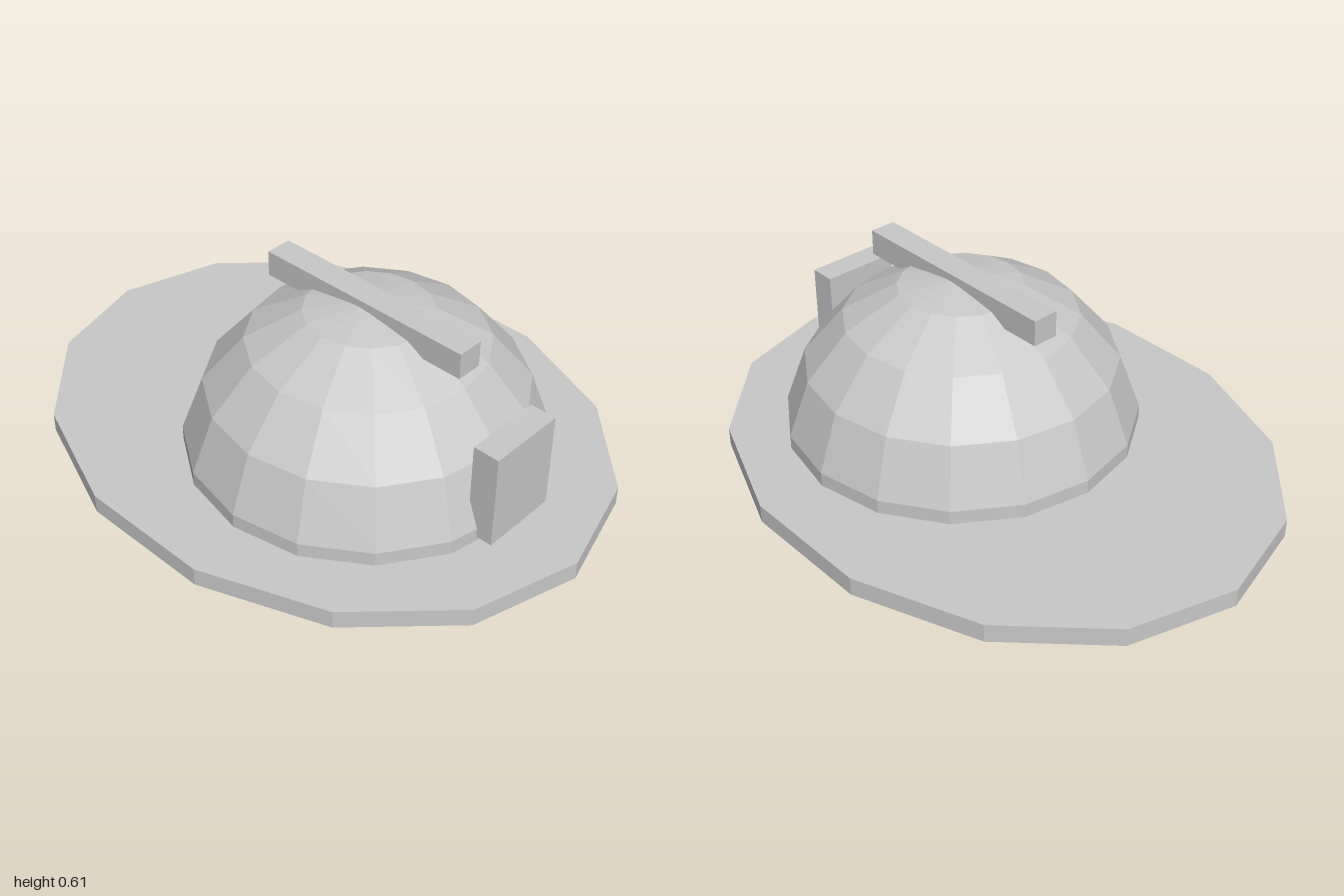
import * as THREE from 'three';

export function createModel() {
  const model = new THREE.Group();
  const grey = new THREE.MeshStandardMaterial({ color: 0xc8c8c8 });
  grey.name = 'light grey';

  const add = (name, geometry, x, y, z) => {
    // split the corners so every facet is flat
    const flat = geometry.index ? geometry.toNonIndexed() : geometry;
    flat.computeVertexNormals();
    const mesh = new THREE.Mesh(flat, grey);
    mesh.name = name;
    mesh.position.set(x, y, z);
    model.add(mesh);
  };

  // oval brim with 14 sides
  const brim = new THREE.CylinderGeometry(1, 1, 0.062, 14);
  brim.scale(0.8, 1, 1);
  add('brim', brim, 0, 0.031, 0);

  // faceted crown: rings every 20 degrees, with an upright foot sunk into the brim
  const radius = 0.59;
  const profile = [new THREE.Vector2(radius * Math.sin(THREE.MathUtils.degToRad(80)), 0.03)];
  for (let angle = 80; angle >= 0; angle -= 20) {
    const a = THREE.MathUtils.degToRad(angle);
    profile.push(new THREE.Vector2(radius * Math.sin(a), 0.008 + 0.582 * Math.cos(a)));
  }
  add('crown', new THREE.LatheGeometry(profile, 16), 0, 0, 0.177);

  // ridge bar along the top and upright plate at the front
  add('ridgeBar', new THREE.BoxGeometry(0.088, 0.086, 0.77), 0, 0.564, 0.18);
  add('frontPlate', new THREE.BoxGeometry(0.262, 0.322, 0.088), 0, 0.24, 0.742);

  return model;
}
